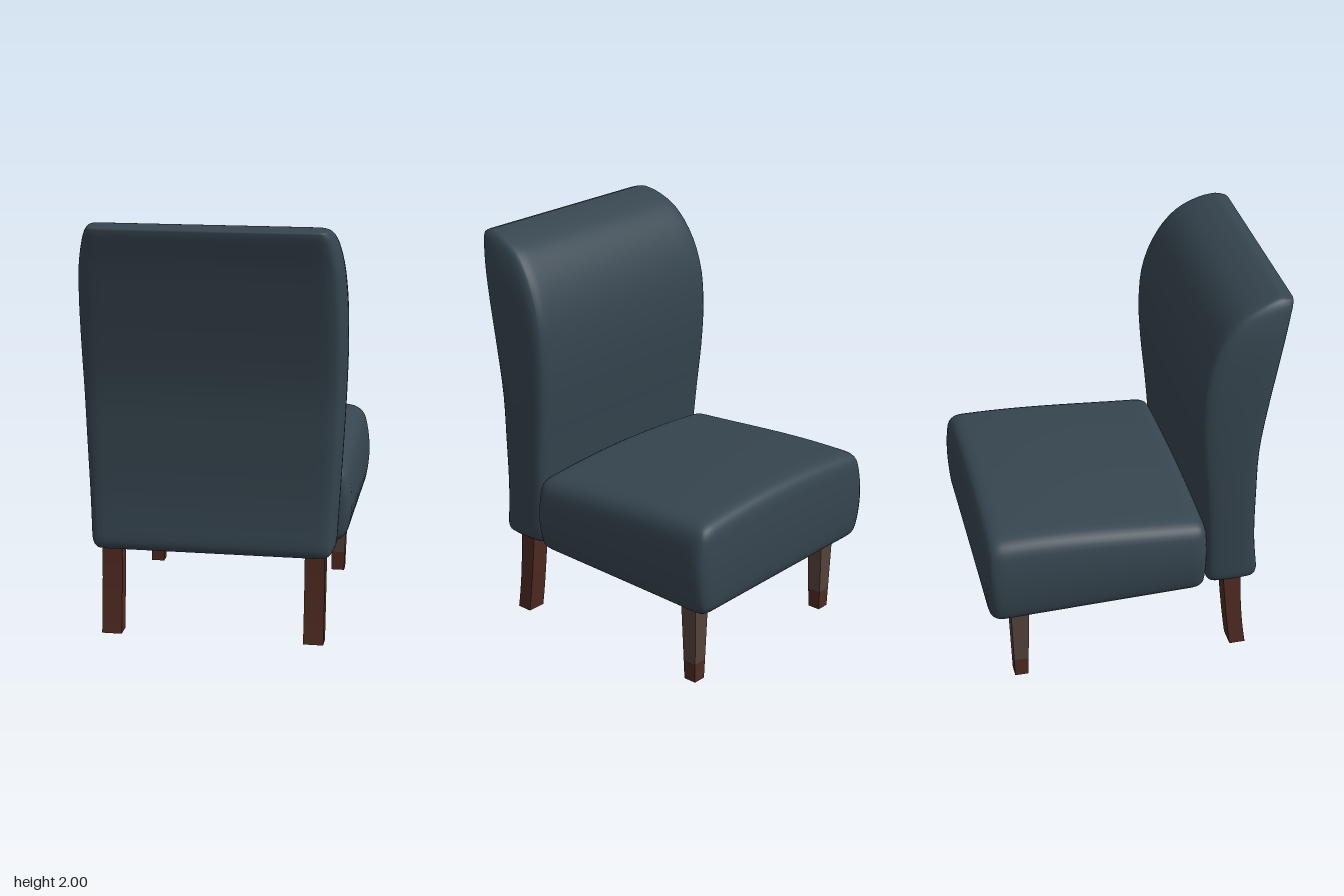
import * as THREE from 'three';
import { mergeVertices } from 'three/addons/utils/BufferGeometryUtils.js';

// Rounded box, then bent by a rule that takes coordinates in -1..1
function cushion(half, r, segs, rule) {
  let geo = new THREE.BoxGeometry(2, 2, 2, ...segs);
  const pos = geo.attributes.position;
  const p = new THREE.Vector3(), core = new THREE.Vector3();
  const inner = half.clone().subScalar(r);
  for (let i = 0; i < pos.count; i++) {
    p.fromBufferAttribute(pos, i);
    // crowd the points towards the edges
    for (const a of ['x', 'y', 'z']) p[a] = Math.sin(p[a] * Math.PI / 2);
    p.multiply(half);
    core.copy(p).clamp(inner.clone().negate(), inner);
    p.sub(core).setLength(r).add(core).divide(half);
    pos.setXYZ(i, ...rule(p.x, p.y, p.z));
  }
  geo.deleteAttribute('uv');
  geo.deleteAttribute('normal');
  geo = mergeVertices(geo, 1e-5);
  geo.computeVertexNormals();
  return geo;
}

// Square tapered post standing at height y
function post(top, bottom, h, y) {
  const s = Math.SQRT2;
  const geo = new THREE.CylinderGeometry(top * s, bottom * s, h, 4)
    .rotateY(Math.PI / 4).translate(0, y + h / 2, 0).toNonIndexed();
  geo.computeVertexNormals();
  return geo;
}

export function createModel() {
  const chair = new THREE.Group();
  chair.name = 'slipperChair';
  const material = (name, color) => {
    const m = new THREE.MeshStandardMaterial({ color });
    m.name = name;
    return m;
  };
  const fabric = material('slateFabric', 0x36454f);
  const wood = material('redBrownWood', 0x4f2c22);
  const paleWood = material('greyBrownWood', 0x55433c);
  const add = (name, geo, mat, x = 0, z = 0) => {
    const mesh = new THREE.Mesh(geo, mat);
    mesh.name = name;
    mesh.position.set(x, 0, z);
    chair.add(mesh);
  };

  // Seat: crowned top rising away from the backrest, bulging sides
  add('seat', cushion(new THREE.Vector3(0.6, 0.23, 0.53), 0.065, [24, 20, 24], (u, v, w) => {
    const bulge = 1 - v * v;
    const rise = THREE.MathUtils.smoothstep(-w, -1.6, 0.75);
    const top = 0.835 + 0.07 * rise - 0.035 * u * u;
    const bottom = 0.415 + 0.012 * w;
    return [
      0.595 * u * (1 + 0.065 * bulge),
      THREE.MathUtils.lerp(bottom, top, (v + 1) / 2),
      -0.183 + 0.53 * w + (w < 0 ? 0.018 * w * bulge : 0.006 * w * bulge),
    ];
  }), fabric);

  // Backrest stations: rear z, rear y, front z, front y, half width
  const stations = [
    [0.63, 0.43, 0.36, 0.43, 0.58], [0.602, 0.68, 0.35, 0.68, 0.592],
    [0.595, 0.95, 0.33, 0.95, 0.605], [0.597, 1.2, 0.305, 1.2, 0.615],
    [0.63, 1.45, 0.295, 1.42, 0.62], [0.67, 1.67, 0.313, 1.62, 0.617],
    [0.70, 1.82, 0.375, 1.79, 0.605], [0.72, 1.90, 0.47, 1.915, 0.585],
    [0.732, 1.95, 0.58, 1.975, 0.565], [0.735, 1.98, 0.67, 2.0, 0.54],
  ];
  const curve = (f) => new THREE.CatmullRomCurve3(stations.map(f));
  const rear = curve((s) => new THREE.Vector3(s[4], s[1], s[0]));
  const front = curve((s) => new THREE.Vector3(s[4], s[3], s[2]));
  add('backrest', cushion(new THREE.Vector3(0.6, 0.785, 0.14), 0.045, [20, 44, 14], (u, v, w) => {
    const t = THREE.MathUtils.clamp((v + 1) / 2, 0, 1);
    const p = front.getPoint(t).lerp(rear.getPoint(t), (w + 1) / 2);
    return [p.x * u * (1 - 0.025 * w * w), p.y, p.z];
  }), fabric);

  // Rear leg outline, swept backwards towards the floor
  const outline = new THREE.Shape();
  outline.moveTo(0.505, 0);
  outline.lineTo(0.585, 0);
  outline.quadraticCurveTo(0.55, 0.2, 0.545, 0.46);
  outline.lineTo(0.455, 0.46);
  outline.quadraticCurveTo(0.475, 0.2, 0.505, 0);
  const rearLeg = new THREE.ExtrudeGeometry(outline, { depth: 0.096, bevelEnabled: false, curveSegments: 8 })
    .translate(0, 0, -0.048).rotateY(-Math.PI / 2);

  // Legs, mirrored: curved at the rear, tapered with darker feet at the other end
  for (const side of [-1, 1]) {
    add('rearLeg', rearLeg, wood, side * 0.487);
    add('frontLeg', post(0.046, 0.036, 0.35, 0.1), paleWood, side * 0.487, -0.565);
    add('frontFoot', post(0.036, 0.033, 0.1, 0), wood, side * 0.487, -0.565);
  }

  // The chair stands turned very slightly
  chair.rotation.y = -0.02;
  return chair;
}
